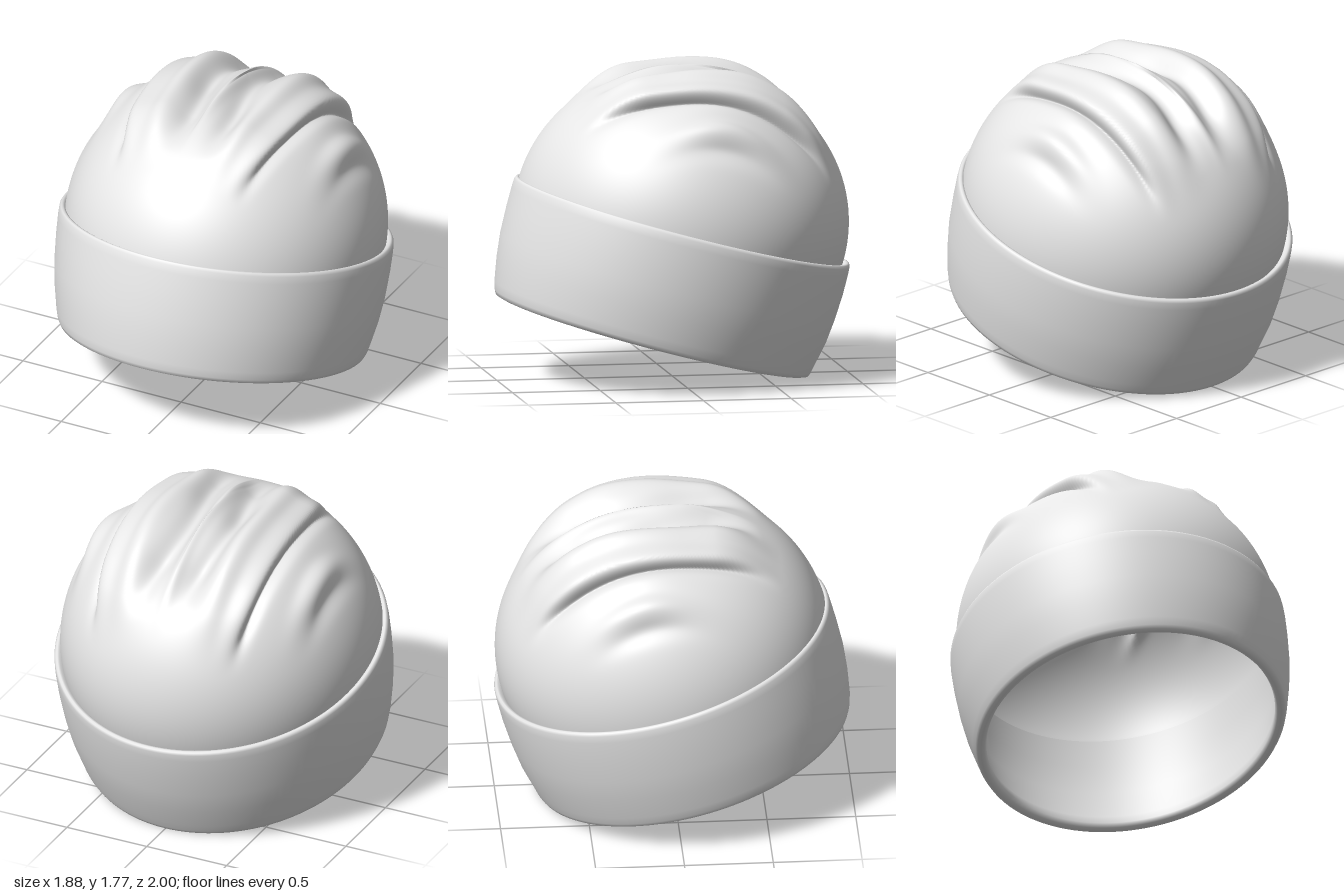
import * as THREE from 'three';

const SLOPE = 0.271; // forward-rising tilt of the cuff

// Skin a surface over a series of closed rings: at(i, angle) gives a point
function loft(rows, cols, at, material, name) {
  const pos = [], index = [];
  for (let i = 0; i <= rows; i++) {
    for (let j = 0; j < cols; j++) pos.push(...at(i, (j / cols) * Math.PI * 2));
  }
  for (let i = 0; i < rows; i++) {
    for (let j = 0; j < cols; j++) {
      const k = (j + 1) % cols;
      const a = i * cols + j, b = i * cols + k, c = a + cols, d = b + cols;
      index.push(a, c, b, b, c, d);
    }
  }
  const g = new THREE.BufferGeometry();
  g.setAttribute('position', new THREE.Float32BufferAttribute(pos, 3));
  g.setIndex(index);
  g.computeVertexNormals();
  const mesh = new THREE.Mesh(g, material);
  mesh.name = name;
  return mesh;
}

const bump = (v, centre, width) => Math.exp(-(((v - centre) / width) ** 2));
const step = THREE.MathUtils.smoothstep;
const span = (z, a, b, soft) => step(z, a, a + soft) * (1 - step(z, b - soft, b));

// Leaning half ellipsoid under the folds
function domePoint(phi, a) {
  const c = Math.max(0, Math.cos(phi)) ** 0.96, s = Math.sin(phi);
  const z = 0.91 * c * Math.sin(a);
  return [0.9 * c * Math.cos(a), 0.885 + SLOPE * z + 0.83 * s, -0.05 + z - 0.25 * s];
}

// Gathered folds running front to back over the crown
function foldedPoint(phi, a) {
  const [x, y, z] = domePoint(phi, a);
  const side = Math.sign(x), r = Math.abs(x);
  const high = step(y, 1.1, 1.4);
  const main = span(z, -0.95, 0.6, 0.4) * high;
  const crest = 0.44 - 0.12 * (z + 0.3) ** 2;

  // broad roll with an overhanging outer lip and the crease beneath it
  let lift = main * (0.07 * bump(r, crest - 0.14, 0.1) + 0.03 * bump(r, crest - 0.02, 0.045)
    - 0.03 * bump(r, crest + 0.04, 0.03));
  let out = main * (0.05 * bump(r, crest - 0.01, 0.04) - 0.03 * bump(r, crest + 0.05, 0.03));

  // the roll swells toward the back and sinks a little at the crown
  lift += bump(r, 0.25, 0.2) * (0.025 * bump(z, -0.4, 0.2) - 0.02 * bump(z, 0.08, 0.18));

  // centre pleat between two uneven hollows
  const wander = 0.12 + side * 0.04 * Math.sin(5 * z);
  lift -= 0.055 * bump(r, wander, 0.07) * span(z, -0.85, 0.5, 0.3) * high;
  lift += 0.02 * bump(r, 0, 0.035) * span(z, -0.9, 0.35, 0.3) * high;
  lift -= 0.02 * bump(x, -0.16, 0.09) * bump(z, -0.1, 0.15);

  // smaller fold low on each side
  const low = bump(z, -0.2, 0.24) * high;
  lift += low * (0.045 * bump(r, 0.67, 0.05) + 0.02 * bump(r, 0.56, 0.07));
  out += low * (0.025 * bump(r, 0.68, 0.04) - 0.02 * bump(r, 0.75, 0.03));

  const ny = y - 0.8, nz = 0.7 * (z + 0.15), n = Math.hypot(ny, nz) || 1;
  return [x + side * out, y + lift * ny / n, z + lift * nz / n];
}

export function createModel() {
  const hat = new THREE.Group();
  hat.name = 'knitHat';
  const wool = new THREE.MeshStandardMaterial({ color: 0xe6e6e6, side: THREE.DoubleSide });
  wool.name = 'light grey wool';

  // Folded-up cuff: [height at z = 0, centre z, half width, half depth],
  // down the inside, round the hem, up the outside and over the top lip
  const cuff = [
    [0.885, -0.05, 0.87, 0.88], [0.7, -0.012, 0.87, 0.883], [0.5, 0.035, 0.855, 0.872],
    [0.29, 0.095, 0.815, 0.842],
    [0.235, 0.11, 0.805, 0.832], [0.211, 0.114, 0.818, 0.845], [0.204, 0.115, 0.838, 0.863],
    [0.21, 0.114, 0.857, 0.88], [0.232, 0.11, 0.868, 0.889], [0.28, 0.1, 0.88, 0.9],
    [0.42, 0.062, 0.908, 0.925], [0.56, 0.027, 0.927, 0.939], [0.72, -0.015, 0.937, 0.945],
    [0.84, -0.045, 0.94, 0.944], [0.885, -0.056, 0.938, 0.942], [0.9, -0.06, 0.93, 0.936],
    [0.904, -0.06, 0.92, 0.926], [0.9, -0.058, 0.908, 0.915], [0.88, -0.055, 0.89, 0.9],
  ];
  hat.add(loft(cuff.length - 1, 128, (i, a) => {
    const [y, cz, rx, rz] = cuff[i];
    const z = cz + rz * Math.sin(a);
    return [rx * Math.cos(a), y + SLOPE * z, z];
  }, wool, 'cuff'));

  // Crown with soft folds
  const rows = 130;
  hat.add(loft(rows, 240, (i, a) =>
    foldedPoint(THREE.MathUtils.lerp(-0.06, Math.PI / 2, i / rows), a), wool, 'crown'));

  // Thin lining that follows the folds from inside
  const inner = 80;
  hat.add(loft(inner, 160, (i, a) => {
    const [x, y, z] = foldedPoint((1 - i / inner) * Math.PI / 2, a);
    return [x * 0.975, 0.885 + (y - 0.885) * 0.975, -0.05 + (z + 0.05) * 0.975];
  }, wool, 'lining'));

  return hat;
}
